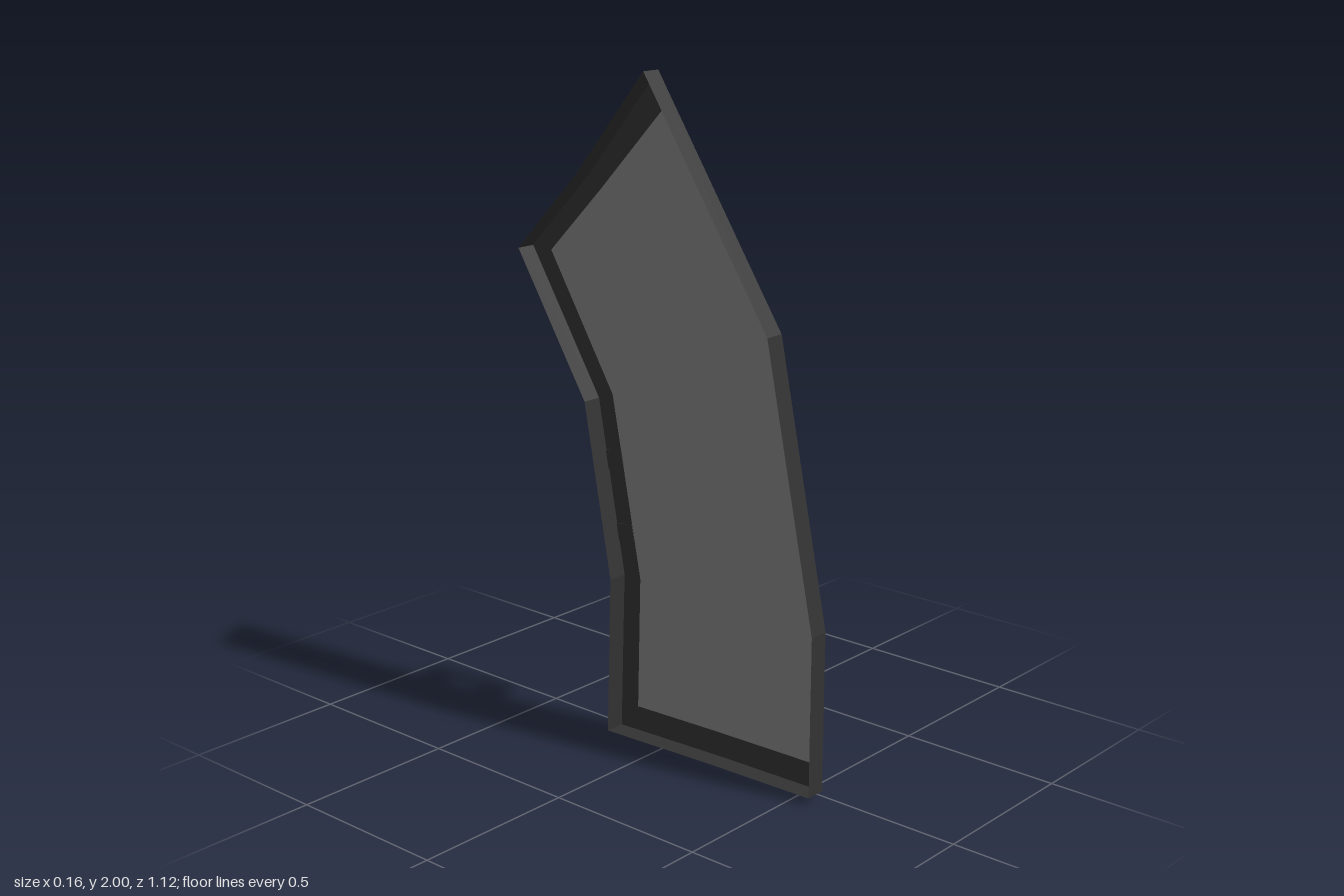
import * as THREE from 'three';

const THICK = 0.062;

// Outlines as [z, y], matching corners outside and inside the frame
const OUTER = [[0.56, 0.02], [0.56, 0.5], [0.39, 1.32], [-0.06, 2.0], [-0.325, 1.685],
  [-0.56, 1.445], [-0.295, 1.02], [-0.195, 0.49], [-0.21, 0], [0.18, 0.017]];
const INNER = [[0.515, 0.095], [0.52, 0.5], [0.35, 1.31], [-0.045, 1.89], [-0.28, 1.645],
  [-0.485, 1.44], [-0.24, 1.04], [-0.13, 0.49], [-0.14, 0.08], [0.18, 0.092]];

// The panel bows slightly outwards towards the bottom
function bow(z, y) {
  const bulge = Math.max(0, 1 - ((z - 0.17) / 0.39) ** 2);
  return -0.003 - (1 - y / 2) * (0.006 + 0.007 * bulge);
}

// Join matching closed rings of corners with quads
function skin(rings) {
  const n = rings[0].length;
  const positions = rings.flat(2);
  const index = [];
  for (let r = 0; r < rings.length - 1; r++) {
    for (let i = 0; i < n; i++) {
      const a = r * n + i, b = r * n + (i + 1) % n;
      index.push(a, a + n, b + n, a, b + n, b);
    }
  }
  const geometry = new THREE.BufferGeometry();
  geometry.setAttribute('position', new THREE.Float32BufferAttribute(positions, 3));
  geometry.setIndex(index);
  const faceted = geometry.toNonIndexed();
  faceted.computeVertexNormals();
  return faceted;
}

const ring = (outline, depth) => outline.map(([z, y]) => [bow(z, y) - depth, y, z]);

export function createModel() {
  const model = new THREE.Group();
  model.name = 'windowPanel';
  const dark = new THREE.MeshStandardMaterial({ color: 0x333333, flatShading: true, side: THREE.DoubleSide });
  const grey = new THREE.MeshStandardMaterial({ color: 0x848484, side: THREE.DoubleSide });

  const add = (name, geometry, material) => {
    const mesh = new THREE.Mesh(geometry, material);
    mesh.name = name;
    model.add(mesh);
    return mesh;
  };

  // Frame: open-backed, an outer wall folded into a lip around the pane
  add('frame', skin([ring(OUTER, THICK), ring(OUTER, 0), ring(INNER, 0)]), dark);

  // Pane: thin sheet flush with the lip
  const pane = new THREE.ShapeGeometry(new THREE.Shape(INNER.map(([z, y]) => new THREE.Vector2(-z, y))));
  pane.rotateY(Math.PI / 2);
  const p = pane.attributes.position;
  for (let i = 0; i < p.count; i++) p.setX(i, bow(p.getZ(i), p.getY(i)));
  pane.computeVertexNormals();
  add('pane', pane, grey);

  // Handle: C-shaped bracket, tilted along the rear edge
  const bracket = new THREE.Shape([[-0.01, -0.142], [0.079, -0.142], [0.079, 0.135], [-0.01, 0.135],
    [-0.01, 0.077], [0.04, 0.077], [0.04, -0.09], [-0.01, -0.09]].map(([x, y]) => new THREE.Vector2(x, y)));
  const grip = new THREE.ExtrudeGeometry(bracket, { depth: 0.064, bevelEnabled: false });
  grip.translate(0, 0, -0.032);
  const handle = add('handle', grip, dark);
  handle.rotation.x = -0.185;
  handle.position.set(0, 0.738, -0.212);

  return model;
}
